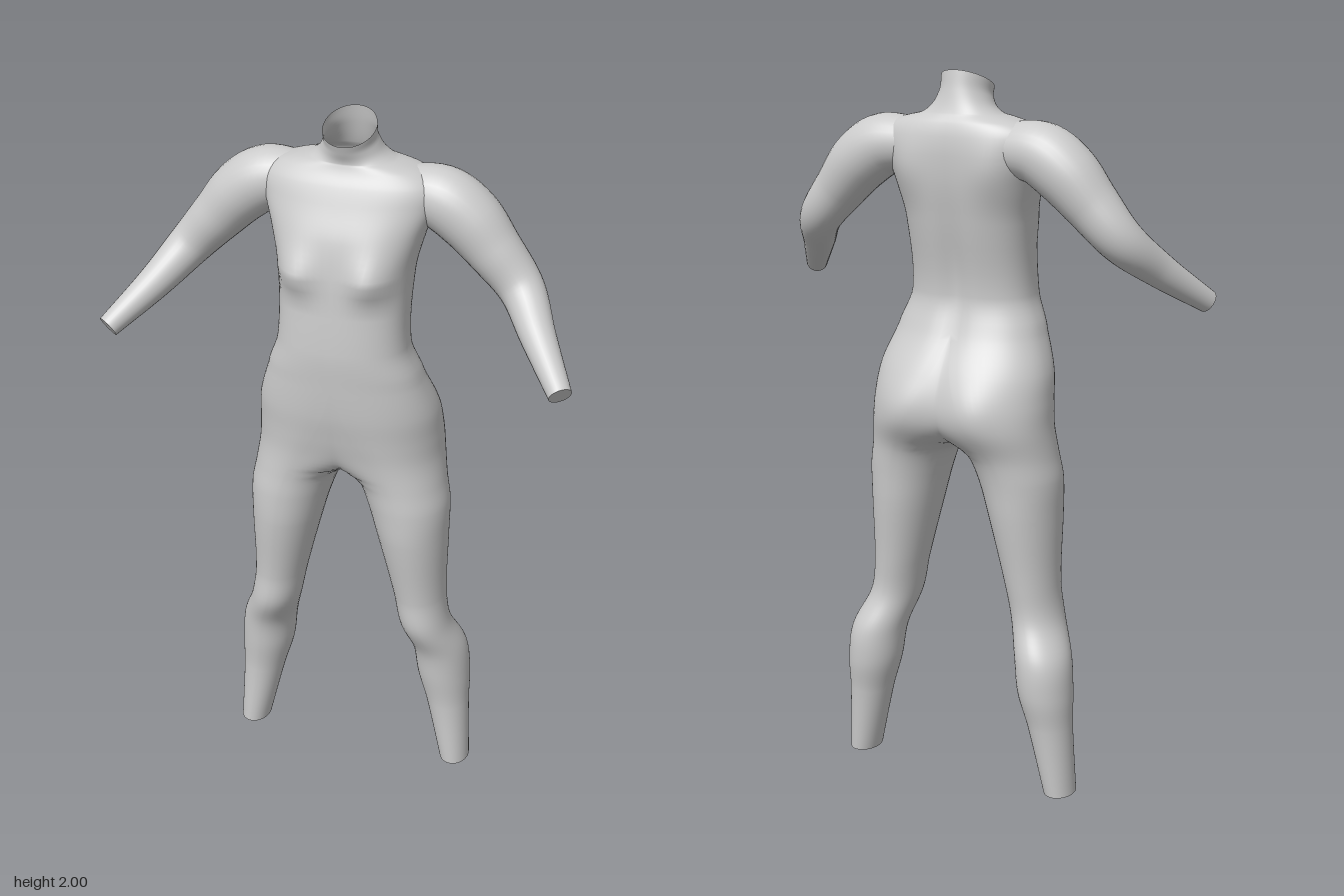
import * as THREE from 'three';
import { mergeVertices } from 'three/addons/utils/BufferGeometryUtils.js';

const { smoothstep } = THREE.MathUtils;
const material = new THREE.MeshStandardMaterial({ color: 0xcccccc, side: THREE.DoubleSide });

// Cross-sections of the left half, ankle to neck: [y, centre x, radius, front z, back z]
const BODY = [
  [0.00, 0.322, 0.043, 0.000, -0.115],
  [0.20, 0.293, 0.063, 0.002, -0.135],
  [0.30, 0.278, 0.077, 0.015, -0.153],
  [0.40, 0.265, 0.078, 0.030, -0.150],
  [0.50, 0.230, 0.072, 0.068, -0.112],
  [0.60, 0.212, 0.075, 0.072, -0.115],
  [0.80, 0.187, 0.101, 0.100, -0.140],
  [0.90, 0.172, 0.116, 0.105, -0.150],
  [0.97, 0.150, 0.126, 0.105, -0.163],
  [1.05, 0.110, 0.155, 0.112, -0.193],
  [1.12, 0.070, 0.190, 0.125, -0.195],
  [1.20, 0.030, 0.220, 0.140, -0.172],
  [1.30, 0, 0.215, 0.150, -0.120],
  [1.40, 0, 0.180, 0.155, -0.092],
  [1.60, 0, 0.182, 0.140, -0.123],
  [1.70, 0, 0.205, 0.125, -0.138],
  [1.78, 0, 0.232, 0.092, -0.142],
  [1.83, 0, 0.235, 0.070, -0.138],
  [1.865, 0, 0.195, 0.050, -0.128],
  [1.89, 0, 0.112, 0.043, -0.113],
  [1.95, 0, 0.073, 0.052, -0.095],
  [2.00, 0, 0.070, 0.060, -0.085],
];

// Arm thickness: [fraction of length, radius]
const ARM = [[0, 0.07], [0.14, 0.085], [0.26, 0.085], [0.4, 0.073], [0.57, 0.06], [0.77, 0.046], [1, 0.031]];

// Smoothly interpolates table rows by their first column
function sample(rows, key) {
  let i = 0;
  while (i < rows.length - 2 && key > rows[i + 1][0]) i++;
  const a = rows[i], b = rows[i + 1];
  const p = rows[Math.max(i - 1, 0)], n = rows[Math.min(i + 2, rows.length - 1)];
  const h = b[0] - a[0], t = (key - a[0]) / h, t2 = t * t, t3 = t2 * t;
  return a.map((_, k) => {
    const ma = (b[k] - p[k]) / (b[0] - p[0]) * h;
    const mb = (n[k] - a[k]) / (n[0] - a[0]) * h;
    return (2 * t3 - 3 * t2 + 1) * a[k] + (t3 - 2 * t2 + t) * ma + (3 * t2 - 2 * t3) * b[k] + (t3 - t2) * mb;
  });
}

const bell = (d, s) => Math.exp(-(d * d) / (s * s));

// Soft surface forms of the chest, back and hips, as a shift in z
function relief(x, y, front) {
  if (front) return 0.036 * bell(x - 0.105, 0.06) * bell(y - 1.595, y > 1.595 ? 0.075 : 0.035);
  const spine = 0.016 * bell(x, 0.035) * bell(y - 1.45, 0.25);
  const hip = 0.018 * bell(x - 0.105, 0.075) * bell(y - 1.1, 0.09);
  const blade = 0.012 * bell(x - 0.13, 0.06) * bell(y - 1.74, 0.08);
  return spine - hip - blade;
}

// One closed ring of the left half; the inner side is cut off at the midline
function ring(level) {
  const [y, x0, rOut, zf, zb] = sample(BODY, level);
  const cx = Math.max(x0, 0), zm = (zf + zb) / 2, rz = (zf - zb) / 2;
  // The inner side flattens where the legs join; the trunk is squarer than the limbs
  const rIn = rOut + 0.25 * smoothstep(y, 0.96, 1.12);
  const p = 2 + 0.4 * smoothstep(y, 1, 1.35) * (1 - smoothstep(y, 1.85, 1.95));
  const inner = Math.asin(Math.min(1, cx / rIn)), M = 10, N = 36, pts = [];
  const add = (x, s) => {
    const z = zm + rz * s;
    const blend = Math.min(1, Math.abs(s) * 1.5);
    const drop = Math.max(0, (y - 1.88) / 0.12) * 0.065 * (z - zb) / (zf - zb); // slanted neck rim
    pts.push(new THREE.Vector3(x < 1e-4 ? 0 : x, y - drop, z + blend * relief(x, y, s > 0)));
  };
  for (let j = M; j > 0; j--) add(cx - rIn * Math.sin(inner * j / M), Math.cos(inner * j / M));
  for (let j = 0; j <= N; j++) {
    const a = Math.PI * (0.5 - j / N), c = Math.max(0, Math.cos(a)), s = Math.sin(a);
    add(cx + rOut * Math.pow(c, 2 / p), Math.sign(s) * Math.pow(Math.abs(s), 2 / p));
  }
  for (let j = 1; j <= M; j++) add(cx - rIn * Math.sin(inner * j / M), -Math.cos(inner * j / M));
  return pts;
}

// Both halves skinned and welded along the midline
function bodyGeometry() {
  const levels = [];
  for (let i = 0; i < BODY.length - 1; i++) {
    for (let k = 0; k < 6; k++) levels.push(THREE.MathUtils.lerp(BODY[i][0], BODY[i + 1][0], k / 6));
  }
  levels.push(2);
  const rings = levels.map(ring), count = rings[0].length, positions = [];
  const tri = (a, b, c) => {
    if (a.x + b.x + c.x < 1e-4) return; // no wall inside the midline
    for (const v of [a, b, c]) positions.push(v.x, v.y, v.z);
    for (const v of [a, c, b]) positions.push(-v.x, v.y, v.z);
  };
  for (let i = 0; i < rings.length - 1; i++) {
    for (let j = 0; j < count; j++) {
      const k = (j + 1) % count, lo = rings[i], hi = rings[i + 1];
      tri(lo[j], lo[k], hi[k]);
      tri(lo[j], hi[k], hi[j]);
    }
  }
  const g = new THREE.BufferGeometry();
  g.setAttribute('position', new THREE.Float32BufferAttribute(positions, 3));
  const welded = mergeVertices(g, 1e-4);
  welded.computeVertexNormals();
  return welded;
}

// Arm: a tube along a bent path, tapered by the thickness table
function createArm() {
  const curve = new THREE.CatmullRomCurve3([
    [0.14, 1.80, -0.05], [0.24, 1.79, -0.05], [0.31, 1.745, -0.05], [0.38, 1.67, -0.045],
    [0.46, 1.58, -0.03], [0.53, 1.495, 0.06], [0.622, 1.398, 0.182],
  ].map(p => new THREE.Vector3(...p)));
  const rows = 48, sides = 28;
  const tube = new THREE.TubeGeometry(curve, rows, 1, sides);
  const pos = tube.attributes.position, v = new THREE.Vector3();
  for (let i = 0; i < pos.count; i++) {
    const u = Math.floor(i / (sides + 1)) / rows, c = curve.getPointAt(u);
    v.fromBufferAttribute(pos, i).sub(c).multiplyScalar(sample(ARM, u)[1]).add(c);
    pos.setXYZ(i, v.x, v.y, v.z);
  }
  tube.deleteAttribute('uv');
  tube.deleteAttribute('normal');
  const geometry = mergeVertices(tube, 1e-4);
  geometry.computeVertexNormals();
  const arm = new THREE.Group();
  arm.add(named(geometry, 'armSurface'));
  // Flat wrist end
  const wrist = named(new THREE.CircleGeometry(0.031, sides), 'wristEnd');
  const end = curve.getPointAt(1);
  wrist.position.copy(end);
  wrist.lookAt(end.clone().add(curve.getTangentAt(1)));
  arm.add(wrist);
  return arm;
}

function named(geometry, name) {
  const mesh = new THREE.Mesh(geometry, material);
  mesh.name = name;
  return mesh;
}

export function createModel() {
  const model = new THREE.Group();
  model.name = 'mannequin';
  model.add(named(bodyGeometry(), 'torsoAndLegs'));
  for (const side of [1, -1]) {
    const label = side > 0 ? 'left' : 'right';
    const arm = createArm();
    arm.name = label + 'Arm';
    arm.scale.x = side;
    model.add(arm);
    // Flat ankle end
    const ankle = named(new THREE.CircleGeometry(1, 28), label + 'AnkleEnd');
    ankle.rotation.x = Math.PI / 2;
    ankle.scale.set(0.043, 0.0575, 1);
    ankle.position.set(side * 0.322, 0, -0.0575);
    model.add(ankle);
  }
  return model;
}
